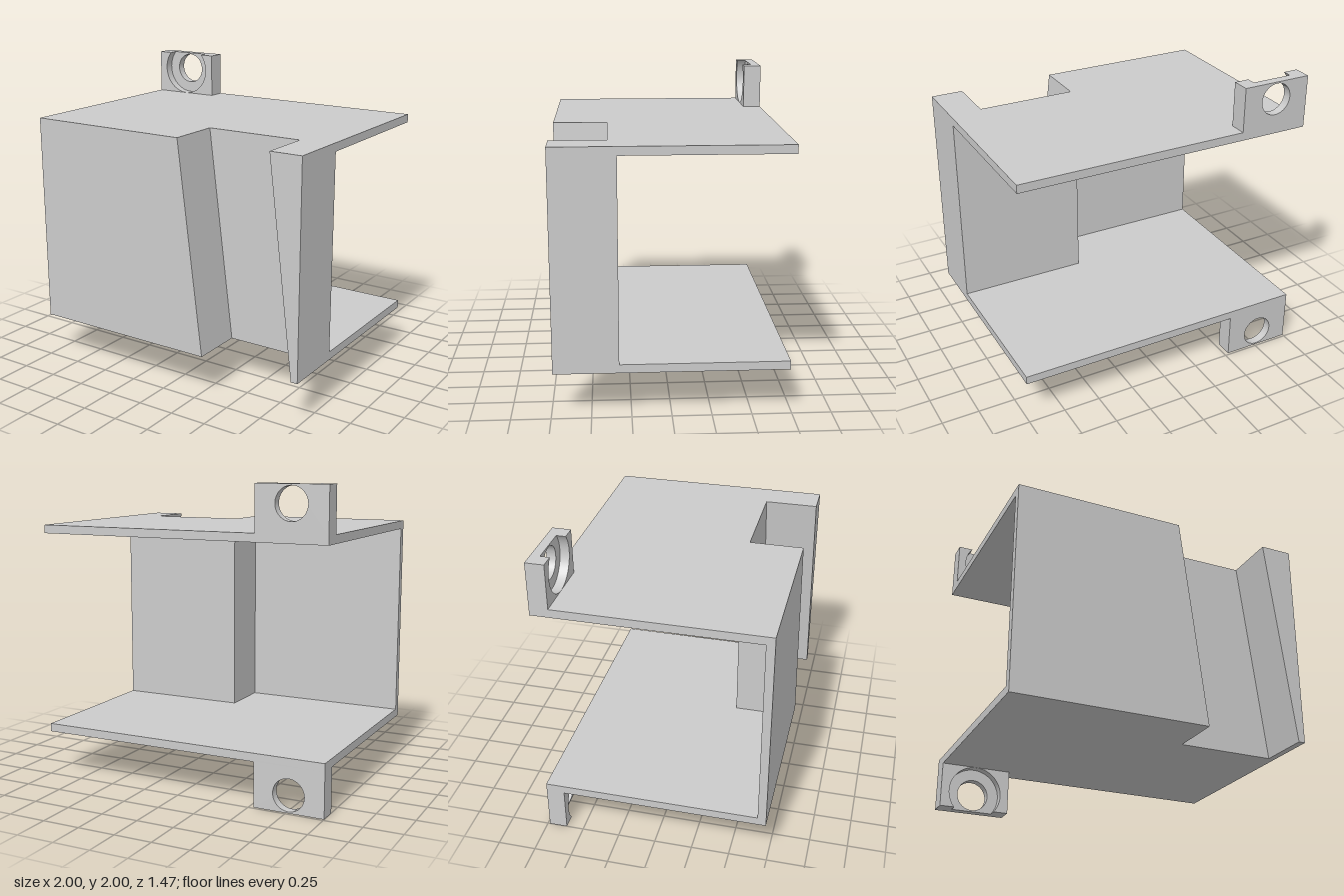
import * as THREE from 'three';
import { toCreasedNormals } from 'three/addons/utils/BufferGeometryUtils.js';

const BOTTOM = 0.295, TOP = 1.705, WALL = 0.055;
const BACK = -0.735, FRONT = 0.735;
const SLOT_Z = 0.38;            // floor of the slanted slot
const INNER_Z = SLOT_Z - WALL;  // back of the wall behind the slot
const INNER_X = 0.12;           // side of the inner cavity

const material = new THREE.MeshStandardMaterial({ color: 0xcccccc });

const polygon = (points) => new THREE.Shape(points.map(([x, y]) => new THREE.Vector2(x, y)));

// Extrudes a front-facing outline between two depths
function slab(name, shape, z0, z1) {
  const extruded = new THREE.ExtrudeGeometry(shape, { depth: z1 - z0, bevelEnabled: false, curveSegments: 40 });
  const mesh = new THREE.Mesh(toCreasedNormals(extruded, 0.5), material);
  mesh.name = name;
  mesh.position.z = z0;
  return mesh;
}

const bar = (y0, y1) => polygon([[-1, y0], [1, y0], [1, y1], [-1, y1]]);

// Bracket outline: top and bottom plates joined by a block right of the cavity
const bracket = (xBottom, xTop) => polygon([
  [-1, BOTTOM], [xBottom, BOTTOM], [xTop, TOP], [-1, TOP],
  [-1, TOP - WALL], [INNER_X, TOP - WALL], [INNER_X, BOTTOM + WALL], [-1, BOTTOM + WALL],
]);

// Screw tab, drawn around the middle of the body height
function mountingTab(name) {
  const tab = new THREE.Group();
  tab.name = name;
  const half = 0.235, low = TOP - 1, high = 1, centre = 0.885;
  const holeRadius = 0.105, boreRadius = 0.179, step = -0.675;

  // Rear layer with the through hole
  const rear = polygon([[-half, low], [half, low], [half, high], [-half, high]]);
  rear.holes.push(new THREE.Path().absarc(0, centre, holeRadius, 0, Math.PI * 2, true));
  tab.add(slab('tabPlate', rear, BACK, step));

  // Front layer with the wider counterbore, which breaks out of the outer edge
  const angle = Math.asin((high - centre) / boreRadius);
  const rim = new THREE.Shape();
  rim.moveTo(-half, high);
  rim.lineTo(-half, low);
  rim.lineTo(half, low);
  rim.lineTo(half, high);
  rim.lineTo(boreRadius * Math.cos(angle), high);
  rim.absarc(0, centre, boreRadius, angle, Math.PI - angle, true);
  rim.closePath();
  tab.add(slab('tabCounterbore', rim, step, -0.615));

  tab.position.set(-0.765, 1, 0);
  return tab;
}

export function createModel() {
  const model = new THREE.Group();
  model.name = 'mountingBracket';

  // Plates running to the open back
  model.add(slab('topPlate', bar(TOP - WALL, TOP), BACK, INNER_Z));
  model.add(slab('bottomPlate', bar(BOTTOM, BOTTOM + WALL), BACK, INNER_Z));

  // Wall behind the slot, then the hollow front part with its slanted side
  model.add(slab('slotWall', bracket(1, 1), INNER_Z, SLOT_Z));
  model.add(slab('frontBody', bracket(0.3, 0.13), SLOT_Z, FRONT - WALL));
  model.add(slab('frontWall', polygon([[-1, BOTTOM], [0.3, BOTTOM], [0.13, TOP], [-1, TOP]]), FRONT - WALL, FRONT));

  // Tapered post on the far side of the slot
  model.add(slab('slotPost', polygon([[0.955, BOTTOM], [1, BOTTOM], [1, TOP], [0.785, TOP]]), SLOT_Z, FRONT));

  // Screw tabs above and below
  const lowerTab = mountingTab('lowerTab');
  lowerTab.rotation.z = Math.PI;
  model.add(mountingTab('upperTab'), lowerTab);

  return model;
}
